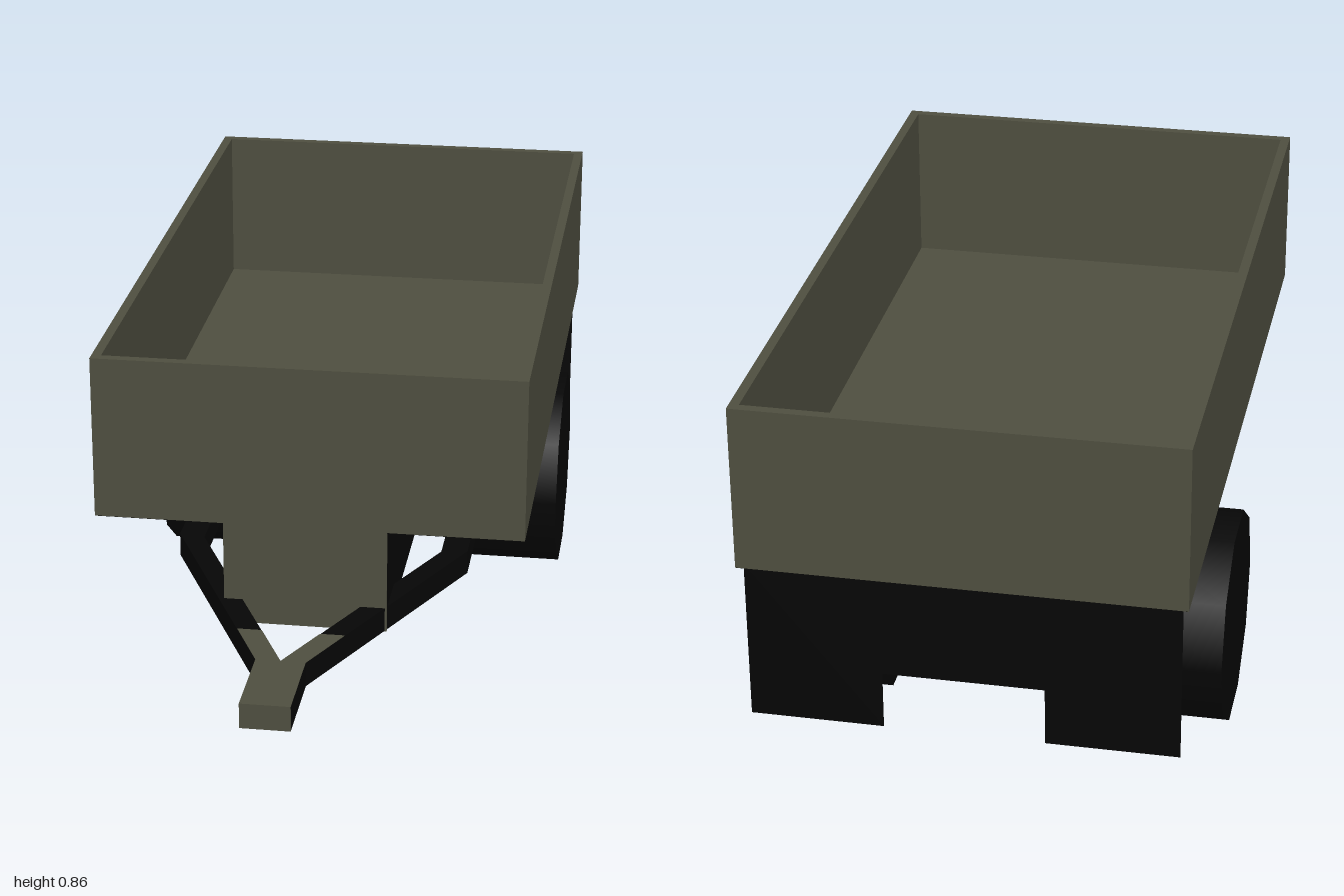
import * as THREE from 'three';

const olive = new THREE.MeshStandardMaterial({ color: 0x505041 });
olive.name = 'olive';
const black = new THREE.MeshStandardMaterial({ color: 0x060606, side: THREE.DoubleSide });
black.name = 'black';

export function createModel() {
  const model = new THREE.Group();
  model.name = 'trailer';

  const add = (name, geometry, material) => {
    const mesh = new THREE.Mesh(geometry, material);
    mesh.name = name;
    model.add(mesh);
    return mesh;
  };

  // Box given by its limits on each axis
  const box = (name, [x0, x1], [y0, y1], [z0, z1], material) => {
    const mesh = add(name, new THREE.BoxGeometry(x1 - x0, y1 - y0, z1 - z0), material);
    mesh.position.set((x0 + x1) / 2, (y0 + y1) / 2, (z0 + z1) / 2);
    return mesh;
  };

  // Footprint of [x, z] points raised from y0 to y1
  const slab = (name, outline, y0, y1, material) => {
    const shape = new THREE.Shape(outline.map(([x, z]) => new THREE.Vector2(x, -z)));
    const g = new THREE.ExtrudeGeometry(shape, { depth: y1 - y0, bevelEnabled: false });
    g.rotateX(-Math.PI / 2).translate(0, y0, 0);
    return add(name, g, material);
  };
  const mirrored = (half) => [
    ...half,
    ...half.filter(([x]) => x > 0).reverse().map(([x, z]) => [-x, z]),
  ];

  // Open cargo tub
  const wallY = [0.506, 0.856];
  box('tubRightWall', [-0.433, -0.413], wallY, [-1, 0.543], olive);
  box('tubLeftWall', [0.442, 0.462], wallY, [-1, 0.543], olive);
  box('tubRearWall', [-0.413, 0.442], wallY, [-1, -0.98], olive);
  box('tubFrontWall', [-0.413, 0.442], wallY, [0.523, 0.543], olive);
  box('tubFloor', [-0.413, 0.442], [0.506, 0.512], [-0.98, 0.523], olive);
  box('tubUnderside', [-0.432, 0.461], [0.505, 0.506], [-0.999, 0.542], black);

  // Hollow chassis channel, open below, with an olive front panel
  box('chassisFrontPanel', [-0.163, 0.179], [0.281, 0.506], [0.538, 0.543], olive);
  box('chassisRearPanel', [-0.163, 0.179], [0.281, 0.505], [-0.979, -0.975], black);
  for (const [name, x] of [['chassisRightWall', -0.163], ['chassisLeftWall', 0.174]]) {
    box(name, [x, x + 0.005], [0.281, 0.505], [-0.975, 0.538], black);
  }

  // Drawbar and frame rails in one piece
  slab('drawbarFrame', mirrored([
    [0.051, 0.998], [0.051, 0.81], [0.316, 0.24], [0.316, -0.979],
    [0.26, -0.979], [0.26, 0.25], [0, 0.81],
  ]), 0.282, 0.334, black);
  slab('drawbarTop', mirrored([
    [0.051, 0.998], [0.051, 0.81], [0.111, 0.68], [0.06, 0.68], [0, 0.81],
  ]), 0.334, 0.335, olive);
  box('hitchFront', [-0.051, 0.051], [0.281, 0.335], [0.998, 1], olive);
  box('hitchUnderside', [-0.051, 0.051], [0.281, 0.282], [0.94, 0.998], olive);

  // Rear mud flaps, thin sheets
  for (const [name, x0, x1] of [['rightMudFlap', -0.42, -0.149], ['leftMudFlap', 0.178, 0.451]]) {
    add(name, new THREE.PlaneGeometry(x1 - x0, 0.347), black)
      .position.set((x0 + x1) / 2, 0.3315, -0.98);
  }

  // Ten-sided wheels standing on a flat
  const radius = 0.226;
  for (const [name, side] of [['rightWheel', -1], ['leftWheel', 1]]) {
    const g = new THREE.CylinderGeometry(radius, radius, 0.212, 10);
    g.rotateZ(Math.PI / 2);
    add(name, g, black).position.set(side * 0.362, radius * Math.cos(Math.PI / 10), -0.525);
  }

  return model;
}
